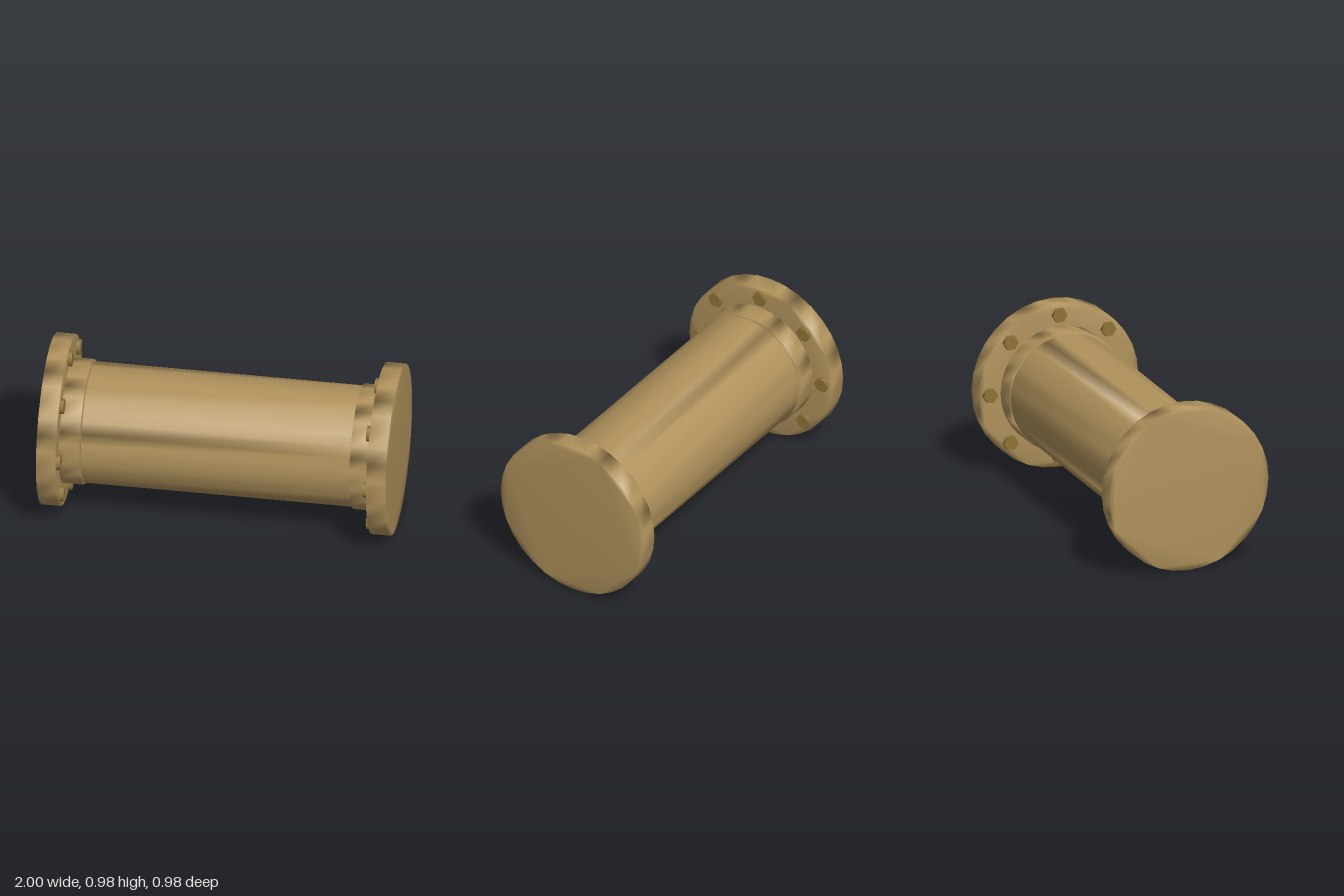
import * as THREE from 'three';
import { mergeVertices } from 'three/addons/utils/BufferGeometryUtils.js';

const AXIS_Y = 0.49;
const bronze = new THREE.MeshStandardMaterial({ color: 0xb0925c });
const boltMetal = new THREE.MeshStandardMaterial({ color: 0x8f7438 });

// Solid 32-sided drum along x, with normals blended over its rims
function drum(name, radius, x0, x1) {
  const points = [];
  for (let i = 0; i < 32; i++) {
    const a = (i / 32) * Math.PI * 2;
    points.push(new THREE.Vector2(Math.cos(a) * radius, Math.sin(a) * radius));
  }
  let geo = new THREE.ExtrudeGeometry(new THREE.Shape(points), { depth: x1 - x0, bevelEnabled: false });
  geo.deleteAttribute('normal');
  geo.deleteAttribute('uv');
  geo = mergeVertices(geo, 1e-4);
  geo.rotateY(Math.PI / 2);
  geo.translate(x0, 0, 0);
  geo.computeVertexNormals();
  const mesh = new THREE.Mesh(geo, bronze);
  mesh.name = name;
  return mesh;
}

export function createModel() {
  const model = new THREE.Group();
  model.name = 'flangedPipe';
  model.position.y = AXIS_Y;

  // Main barrel, with a hairline joint at one collar
  model.add(drum('pipe', 0.345, -0.766, 0.772));

  const boltGeo = new THREE.CylinderGeometry(0.045, 0.045, 0.035, 6).rotateZ(Math.PI / 2);

  for (const side of [-1, 1]) {
    const end = new THREE.Group();
    end.name = side > 0 ? 'leftEnd' : 'rightEnd';
    const span = (a, b) => (side > 0 ? [a, b] : [-b, -a]);

    // Collar and closing flange
    end.add(drum('collar', 0.357, ...span(0.773, 0.892)));
    end.add(drum('flange', 0.489, ...span(0.89, 1)));

    // Ring of eight hexagonal bolt heads on the inner flange face
    for (let i = 0; i < 8; i++) {
      const a = (i / 8) * Math.PI * 2;
      const bolt = new THREE.Mesh(boltGeo, boltMetal);
      bolt.name = 'bolt';
      bolt.position.set(side * 0.884, Math.sin(a) * 0.425, Math.cos(a) * 0.425);
      end.add(bolt);
    }
    model.add(end);
  }

  const root = new THREE.Group();
  root.add(model);
  return root;
}
